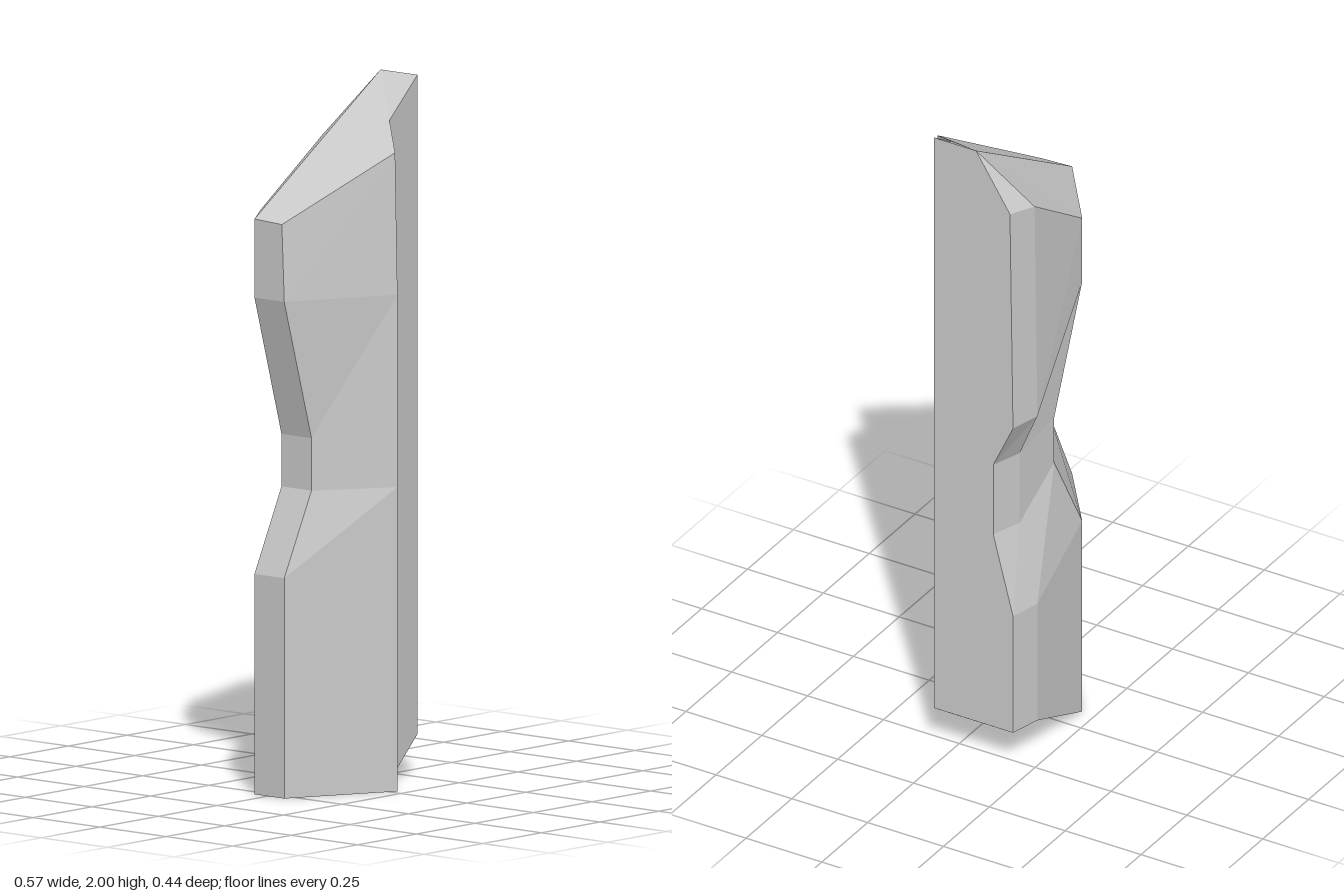
import * as THREE from 'three';

// Each corner runs up the column: plan position at the ends [x, z],
// plan position at the waist, plan position at the rim, and six heights.
const sideHeights = [0.63, 0.87, 1.02, 1.42];
const backHeights = [0.5, 0.75, 0.98, 1.12];
const corners = [
  { end: [-0.283, -0.05], waist: [-0.185, -0.035], rim: [-0.283, -0.05], base: 0, mid: sideHeights, top: 1.645 },
  { end: [-0.283, 0.062], waist: [-0.185, 0.078], rim: [-0.283, 0.053], base: 0, mid: sideHeights, top: 1.64 },
  { end: [0.022, 0.219], waist: [0.022, 0.219], rim: [0.022, 0.21], base: 0, mid: sideHeights, top: 1.825 },
  { end: [0.122, 0.098], waist: [0.122, 0.098], rim: [0.122, 0.098], base: 0, mid: sideHeights, top: 1.89 },
  { end: [0.283, 0.064], waist: [0.283, 0.064], rim: [0.283, 0.064], base: 0.115, mid: backHeights, top: 2 },
  { end: [0.283, -0.197], waist: [0.283, -0.132], rim: [0.283, -0.187], base: 0.115, mid: backHeights, top: 1.825 },
  { end: [0.19, -0.221], waist: [0.19, -0.163], rim: [0.19, -0.212], base: 0.115, mid: backHeights, top: 1.81 },
  { end: [-0.078, -0.207], waist: [0.03, -0.18], rim: [-0.078, -0.207], base: 0, mid: sideHeights, top: 1.63 },
];

function cornerPath(c) {
  const plan = [c.end, c.end, c.waist, c.waist, c.end, c.rim];
  const heights = [c.base, ...c.mid, c.top];
  return plan.map(([x, z], k) => [x, heights[k], z]);
}

export function createModel() {
  const group = new THREE.Group();
  group.name = 'rockColumn';
  const paths = corners.map(cornerPath);
  const ridgeEnd = [0.283, 2, -0.075];
  const chamferFoot = paths[3][0];
  const positions = [];
  const tri = (a, b, c) => positions.push(...a, ...b, ...c);

  paths.forEach((p, i) => {
    const q = paths[(i + 1) % paths.length];
    // side wall, band by band
    for (let k = 0; k < p.length - 1; k++) {
      tri(p[k], q[k], q[k + 1]);
      tri(p[k], q[k + 1], p[k + 1]);
    }
    // sloped top with its ridge, and underside with its chamfer
    tri(ridgeEnd, p[5], q[5]);
    if (i !== 3 && i !== 2) tri(chamferFoot, q[0], p[0]);
  });

  const geometry = new THREE.BufferGeometry();
  geometry.setAttribute('position', new THREE.Float32BufferAttribute(positions, 3));
  geometry.computeVertexNormals();
  const material = new THREE.MeshStandardMaterial({ color: 0xcccccc, flatShading: true });
  const rock = new THREE.Mesh(geometry, material);
  rock.name = 'rock';
  group.add(rock);
  return group;
}
